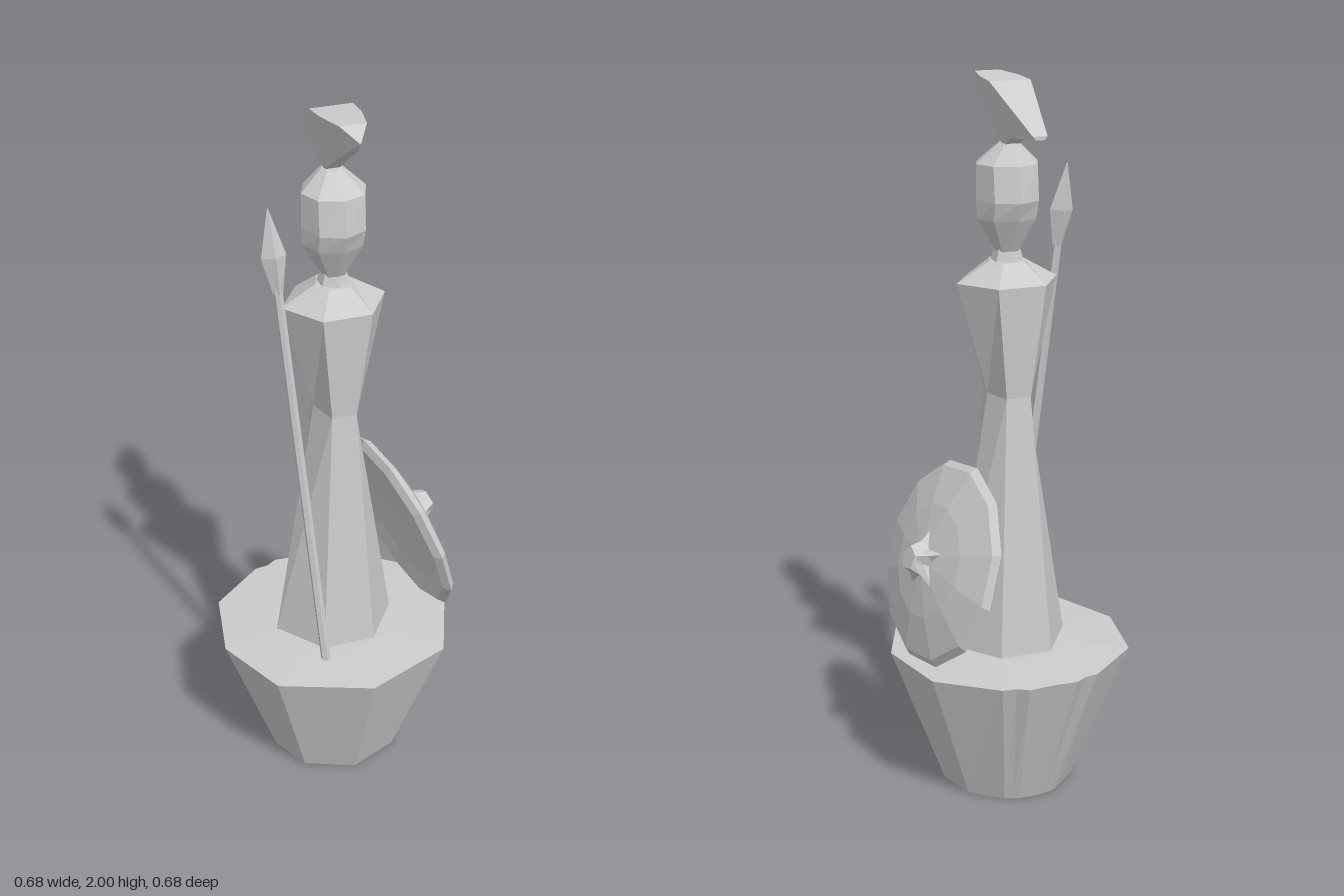
import * as THREE from 'three';

const material = new THREE.MeshStandardMaterial({ color: 0xcccccc, flatShading: true });

function mesh(name, geometry) {
  const m = new THREE.Mesh(geometry, material);
  m.name = name;
  return m;
}

// Skin a list of equal-length rings, closing both ends with fans
function loft(rings) {
  const pos = [];
  const tri = (...pts) => pts.forEach(p => pos.push(...p));
  const centre = ring => [0, 1, 2].map(k => ring.reduce((s, p) => s + p[k], 0) / ring.length);
  const first = rings[0], last = rings[rings.length - 1], n = first.length;
  const c0 = centre(first), c1 = centre(last);
  for (let i = 0; i < n; i++) {
    const j = (i + 1) % n;
    tri(c0, first[j], first[i]);
    for (let r = 0; r < rings.length - 1; r++) {
      const a = rings[r], b = rings[r + 1];
      tri(a[i], a[j], b[j]);
      tri(a[i], b[j], b[i]);
    }
    tri(c1, last[i], last[j]);
  }
  const g = new THREE.BufferGeometry();
  g.setAttribute('position', new THREE.Float32BufferAttribute(pos, 3));
  g.computeVertexNormals();
  return g;
}

// Horizontal ellipse ring with n corners
function ellipse(y, rx, rz, n, z = 0) {
  return Array.from({ length: n }, (_, i) => {
    const a = (i / n) * Math.PI * 2;
    return [Math.sin(a) * rx, y, z + Math.cos(a) * rz];
  });
}

// Horizontal hexagon: side corners at x = side, front and back edges of half width w
function hexagon(y, side, w, front, back) {
  return [[-w, y, front], [w, y, front], [side, y, 0], [w, y, -back], [-w, y, -back], [-side, y, 0]];
}

function createPedestal() {
  // Right half of the faceted top outline, front to back, then mirrored
  const half = [[0, 0.34], [0.25, 0.24], [0.34, 0.03], [0.295, -0.19],
    [0.14, -0.315], [0.1, -0.32], [0.07, -0.34], [0, -0.335]];
  const outline = [...half, ...half.slice(1, -1).reverse().map(([x, z]) => [-x, z])];
  const top = outline.map(([x, z]) => [x, 0.41, z]);
  const bottom = outline.map(([x, z]) => {
    const s = 0.19 / Math.hypot(x, z);
    return [x * s, 0, z * s];
  });
  const crown = outline.map(([x, z]) => [x * 0.5, 0.42, z * 0.5]);
  return mesh('pedestal', loft([bottom, top, crown]));
}

function createFigure() {
  const g = new THREE.Group();
  g.name = 'figure';
  // Robe from hem through waist to shoulders
  g.add(mesh('robe', loft([
    hexagon(0.415, 0.175, 0.075, 0.135, 0.145),
    hexagon(1.15, 0.058, 0.035, 0.088, 0.085),
    hexagon(1.46, 0.145, 0.068, 0.113, 0.11),
    hexagon(1.515, 0.05, 0.03, 0.05, 0.05),
  ])));
  g.add(mesh('neck', loft([
    ellipse(1.5, 0.05, 0.05, 6),
    ellipse(1.555, 0.032, 0.032, 6),
  ])));
  // Helmeted head
  g.add(mesh('head', loft([
    ellipse(1.54, 0.032, 0.034, 8),
    ellipse(1.63, 0.085, 0.08, 8),
    ellipse(1.68, 0.088, 0.1, 8),
    ellipse(1.775, 0.088, 0.085, 8),
    ellipse(1.83, 0.028, 0.03, 8, -0.015),
  ])));
  // Crest sections, back to front: z, top half width, top y, bottom half width, bottom y
  const sections = [
    [-0.222, 0.02, 1.872, 0.012, 1.862],
    [-0.08, 0.047, 1.955, 0.022, 1.85],
    [-0.02, 0.058, 1.99, 0.02, 1.818],
    [0.05, 0.055, 1.995, 0.018, 1.87],
    [0.14, 0.036, 2.0, 0.014, 1.93],
    [0.19, 0.003, 1.972, 0.002, 1.968],
  ];
  g.add(mesh('crest', loft(sections.map(([z, w, top, b, low]) =>
    [[-w, top, z], [-b, low, z], [b, low, z], [w, top, z]]))));
  return g;
}

function createSpear() {
  const g = new THREE.Group();
  g.name = 'spear';
  const base = new THREE.Vector3(-0.085, 0.415, 0.175);
  const tip = new THREE.Vector3(-0.185, 1.76, 0.025);
  const length = base.distanceTo(tip);
  const shaft = new THREE.CylinderGeometry(0.012, 0.014, length - 0.19, 6);
  shaft.translate(0, (length - 0.19) / 2, 0);
  const blade = loft([
    ellipse(length - 0.23, 0.014, 0.014, 4),
    ellipse(length - 0.13, 0.034, 0.024, 4),
    ellipse(length, 0.001, 0.001, 4),
  ]);
  g.add(mesh('spearShaft', shaft), mesh('spearHead', blade));
  g.position.copy(base);
  g.quaternion.setFromUnitVectors(new THREE.Vector3(0, 1, 0), tip.clone().sub(base).normalize());
  return g;
}

function createShield() {
  const g = new THREE.Group();
  g.name = 'shield';
  // Shallow dish, hollow behind
  const profile = [[0, 0.02], [0.2, 0.005], [0.265, -0.012], [0.287, 0.004],
    [0.27, 0.022], [0.16, 0.052], [0, 0.075]].map(p => new THREE.Vector2(...p));
  g.add(mesh('shieldDish', new THREE.LatheGeometry(profile, 12)));
  // Five-pointed raised boss
  const star = (y, outer, inner) => ellipse(y, 1, 1, 10).map(([x, , z], i) => {
    const r = i % 2 ? inner : outer;
    return [x * r, y, z * r];
  });
  g.add(mesh('shieldBoss', loft([star(0.05, 0.1, 0.045), star(0.085, 0.05, 0.034), star(0.115, 0.034, 0.028)])));
  g.position.set(0.205, 0.69, -0.045);
  g.quaternion.setFromUnitVectors(new THREE.Vector3(0, 1, 0), new THREE.Vector3(1, 0.33, -0.14).normalize());
  return g;
}

export function createModel() {
  const model = new THREE.Group();
  model.name = 'statue';
  model.add(createPedestal(), createFigure(), createSpear(), createShield());
  return model;
}
